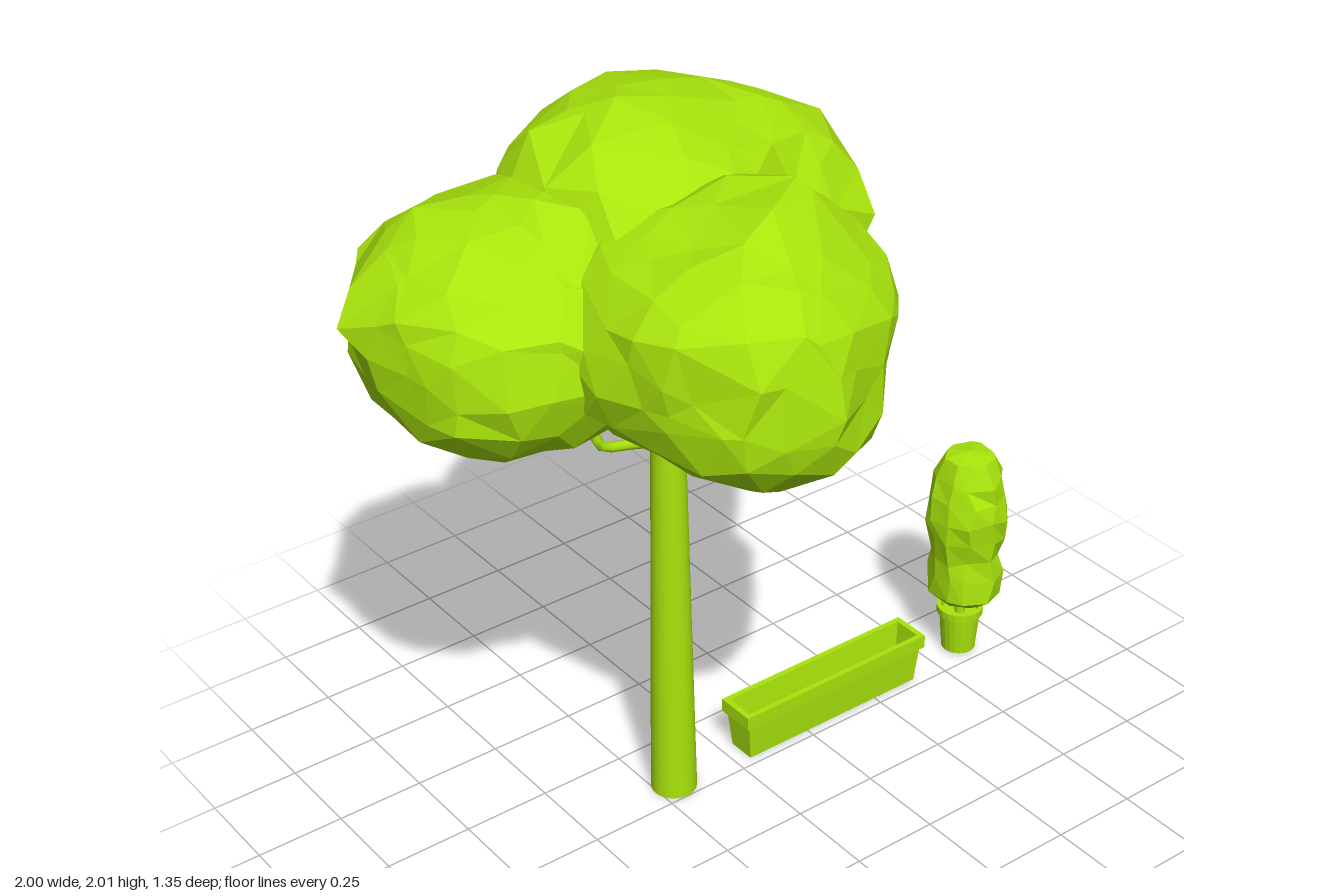
import * as THREE from 'three';
import { mergeVertices } from 'three/addons/utils/BufferGeometryUtils.js';

const COLOR = 0xa9e40c;
const smooth = new THREE.MeshStandardMaterial({ color: COLOR });
const faceted = new THREE.MeshStandardMaterial({ color: COLOR, flatShading: true });

function part(parent, name, geometry, material, x = 0, y = 0, z = 0) {
  const mesh = new THREE.Mesh(geometry, material);
  mesh.name = name;
  mesh.position.set(x, y, z);
  parent.add(mesh);
  return mesh;
}

function seeded(seed) {
  return () => {
    seed = (seed * 16807) % 2147483647;
    return seed / 2147483647;
  };
}

// Moves every shared vertex by a rule, then splits the faces for flat shading
function reshape(geometry, rule) {
  geometry.deleteAttribute('normal');
  geometry.deleteAttribute('uv');
  const merged = mergeVertices(geometry, 1e-4);
  const pos = merged.attributes.position;
  const v = new THREE.Vector3();
  for (let i = 0; i < pos.count; i++) {
    rule(v.fromBufferAttribute(pos, i));
    pos.setXYZ(i, v.x, v.y, v.z);
  }
  const flat = merged.toNonIndexed();
  flat.computeVertexNormals();
  return flat;
}

// Lumpy superellipsoid; the surface passes through each tip and relaxes between them
function clump({ center, radii, power, tips, seed }) {
  const rand = seeded(seed);
  const c = new THREE.Vector3(...center), r = new THREE.Vector3(...radii);
  const reach = (d) => Math.pow(
    Math.abs(d.x) ** power + Math.abs(d.y) ** power + Math.abs(d.z) ** power, -1 / power);
  // Work in a space where the radii are 1
  const pulls = tips.map((t) => {
    const v = new THREE.Vector3(...t).sub(c).divide(r);
    const dir = v.clone().normalize();
    return { dir, gain: v.length() / reach(dir) - 1 };
  });
  return reshape(new THREE.IcosahedronGeometry(1, 3), (v) => {
    v.x += (rand() - 0.5) * 0.2;
    v.y += (rand() - 0.5) * 0.2;
    v.z += (rand() - 0.5) * 0.2;
    v.normalize();
    let sum = 8, gain = 0;
    for (const p of pulls) {
      const w = (v.angleTo(p.dir) + 0.08) ** -4;
      sum += w;
      gain += w * p.gain;
    }
    const s = reach(v) * (1 + gain / sum) * (1 + (rand() - 0.5) * 0.06);
    v.multiplyScalar(s).multiply(r).add(c);
  });
}

function createTree() {
  const tree = new THREE.Group();
  tree.name = 'tree';
  const x = -0.195, z = -0.065;
  part(tree, 'trunk', new THREE.CylinderGeometry(0.044, 0.064, 1.21, 20), smooth, x, 0.605, z);

  // Bent branches reaching into the foliage
  const branches = [
    [[x, 1.11, z], [-0.3, 1.137, -0.07], [-0.395, 1.165, -0.075], [-0.413, 1.22, -0.08], [-0.45, 1.36, -0.085]],
    [[x, 1.155, z], [-0.12, 1.165, -0.1], [-0.065, 1.18, -0.13], [-0.045, 1.22, -0.14], [-0.03, 1.38, -0.147]],
    [[x, 1.145, z], [-0.193, 1.15, 0], [-0.19, 1.175, 0.055], [-0.19, 1.22, 0.085], [-0.195, 1.36, 0.16]],
  ];
  for (const points of branches) {
    const curve = new THREE.CatmullRomCurve3(points.map((p) => new THREE.Vector3(...p)));
    part(tree, 'branch', new THREE.TubeGeometry(curve, 14, 0.014, 8), smooth);
  }

  // Three overlapping foliage masses
  const masses = {
    rightFoliage: {
      center: [-0.58, 1.55, -0.18], radii: [0.38, 0.3, 0.35], power: 2.5, seed: 11,
      tips: [[-1, 1.63, -0.2], [-0.76, 1.58, -0.54], [-0.55, 1.58, -0.56], [-0.8, 1.5, 0.16], [-0.6, 1.52, 0.22],
        [-0.91, 1.38, -0.2], [-0.83, 1.3, -0.18], [-0.65, 1.26, -0.2], [-0.85, 1.78, -0.22], [-0.72, 1.85, -0.2],
        [-0.5, 1.88, -0.15], [-0.62, 1.79, -0.42], [-0.65, 1.37, -0.43], [-0.93, 1.55, -0.02], [-0.7, 1.76, 0.04],
        [-0.9, 1.6, -0.37]],
    },
    frontFoliage: {
      center: [-0.24, 1.56, 0.25], radii: [0.38, 0.31, 0.39], power: 2.5, seed: 29,
      tips: [[-0.3, 1.52, 0.69], [-0.57, 1.55, 0.43], [-0.63, 1.56, 0.2], [0.05, 1.55, 0.5], [0.18, 1.6, 0.3],
        [-0.12, 1.94, 0.3], [-0.4, 1.84, 0.25], [-0.28, 1.78, 0.58], [-0.2, 1.25, 0.33], [-0.25, 1.3, 0.52],
        [-0.25, 1.39, 0.65], [-0.12, 1.55, 0.62], [-0.38, 1.55, 0.65], [0.13, 1.75, 0.16], [0.05, 1.36, 0.3],
        [-0.5, 1.36, 0.28], [-0.05, 1.76, 0.5]],
    },
    backFoliage: {
      center: [-0.06, 1.62, -0.2], radii: [0.47, 0.34, 0.4], power: 2.7, seed: 47,
      tips: [[-0.1, 1.52, -0.69], [-0.1, 1.72, -0.6], [0.38, 1.6, -0.42], [0.44, 1.56, -0.2], [0.41, 1.58, 0],
        [0.22, 1.55, 0.18], [0.31, 1.57, 0.09], [0.36, 1.86, -0.22], [0.34, 1.8, -0.4], [0.22, 1.9, -0.3],
        [0.18, 1.29, -0.18], [0.36, 1.46, -0.42], [0.4, 1.42, -0.15], [-0.2, 2, -0.2], [-0.1, 1.99, -0.4],
        [-0.1, 1.9, -0.51], [-0.05, 1.35, -0.5], [0.15, 1.58, -0.56], [-0.32, 1.62, -0.56], [-0.42, 1.75, -0.47],
        [-0.45, 1.92, -0.2], [-0.35, 1.89, 0.08], [0.12, 1.75, 0.05], [0.15, 1.88, -0.06], [-0.1, 1.27, -0.2]],
    },
  };
  for (const [name, spec] of Object.entries(masses)) part(tree, name, clump(spec), faceted);
  return tree;
}

// Tapered open trough: rectangular rings of half width, height and half depth
function createPlanter() {
  const rings = [[0, 0, 0], [0.302, 0, 0.041], [0.314, 0.116, 0.05], [0.325, 0.116, 0.059], [0.325, 0.157, 0.059],
    [0.308, 0.157, 0.043], [0.298, 0.05, 0.034], [0, 0.05, 0]];
  const column = rings.map((_, i) => new THREE.Vector2(Math.SQRT2, i));
  const shell = new THREE.LatheGeometry(column, 4).rotateY(Math.PI / 4);
  const trough = reshape(shell, (v) => {
    const [w, h, d] = rings[Math.round(v.y)];
    v.set(v.x * w, h, v.z * d);
  });
  const planter = new THREE.Group();
  planter.name = 'planter';
  part(planter, 'trough', trough, faceted);
  planter.position.set(0.346, 0, -0.068);
  return planter;
}

function createPottedShrub() {
  const shrub = new THREE.Group();
  shrub.name = 'pottedShrub';
  // Pot with a collar and a recessed soil level
  const points = (list) => list.map((q) => new THREE.Vector2(...q));
  const pot = new THREE.LatheGeometry(points([[0, 0.008], [0.05, 0.008], [0.06, 0.128], [0.068, 0.13],
    [0.069, 0.154], [0.056, 0.154], [0.053, 0.128], [0, 0.128]]), 20).toNonIndexed();
  pot.computeVertexNormals();
  part(shrub, 'pot', pot, faceted);
  part(shrub, 'stem', new THREE.CylinderGeometry(0.014, 0.016, 0.13, 8), smooth, 0, 0.185, 0);

  // Clipped column of leaves with an uneven surface
  const rand = seeded(83);
  const column = new THREE.LatheGeometry(points([[0, 0.16], [0.06, 0.172], [0.106, 0.215], [0.108, 0.28],
    [0.102, 0.345], [0.118, 0.41], [0.116, 0.48], [0.108, 0.55], [0.1, 0.61], [0.072, 0.665], [0, 0.678]]), 10);
  const leaves = reshape(column, (v) => {
    const swell = 1 + (rand() - 0.5) * 0.14;
    v.applyAxisAngle(THREE.Object3D.DEFAULT_UP, (rand() - 0.5) * 0.35);
    v.x *= swell;
    v.z *= swell;
    if (Math.hypot(v.x, v.z) > 0.085) v.y += (rand() - 0.5) * 0.035;
  });
  part(shrub, 'shrubFoliage', leaves, faceted, 0.009, 0, 0);
  shrub.position.set(0.864, 0, -0.072);
  return shrub;
}

export function createModel() {
  const model = new THREE.Group();
  model.name = 'gardenPlants';
  model.add(createTree(), createPlanter(), createPottedShrub());
  return model;
}
